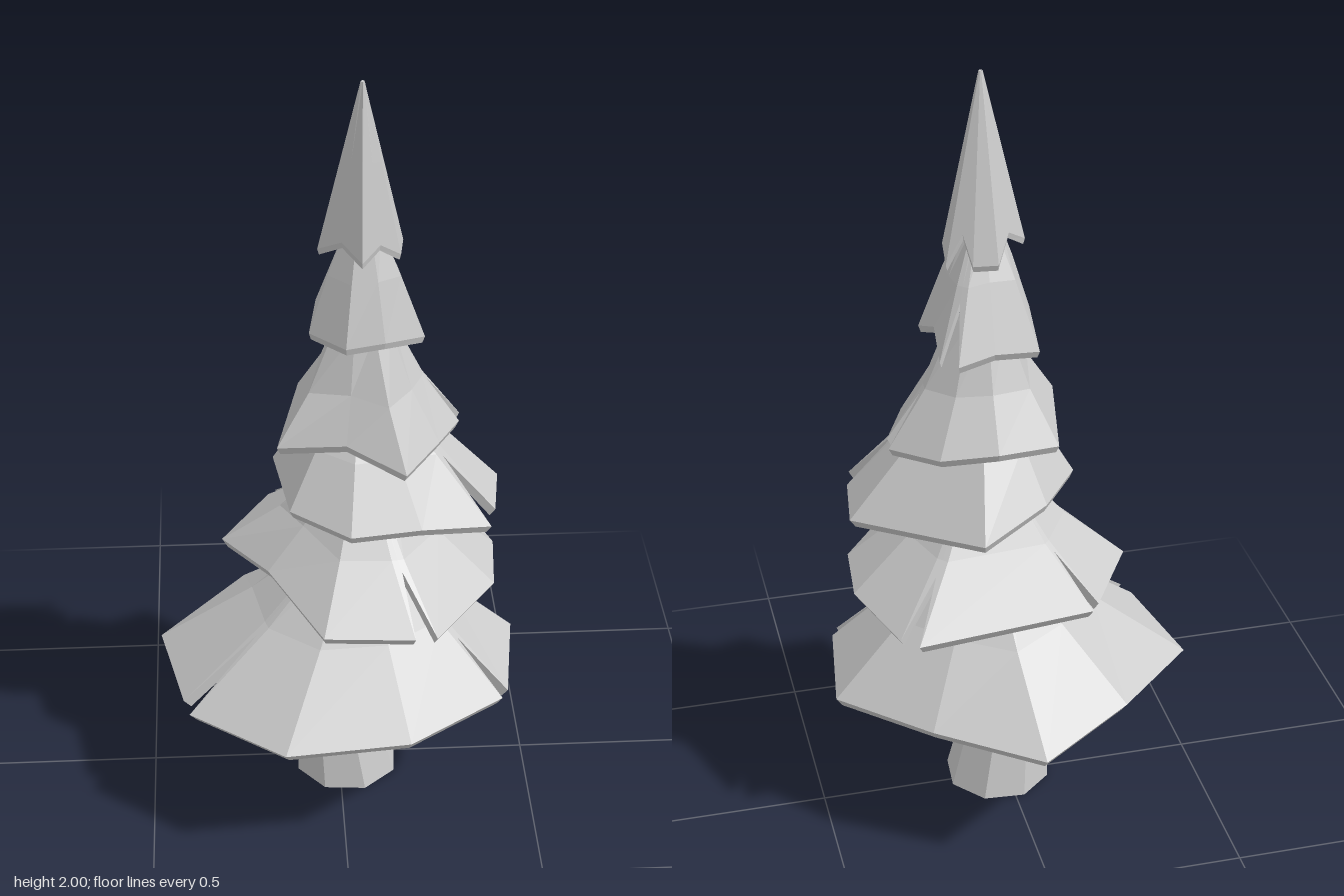
import * as THREE from 'three';

const material = new THREE.MeshStandardMaterial({ color: 0xcccccc, flatShading: true });
const V = (x, y, z) => new THREE.Vector3(x, y, z);
const AXIS = { x: 0.053, z: 0.028 }; // the crown stands slightly off centre

// Joins neighbouring columns of points (each listed bottom to top) into faces.
function loft(name, columns) {
  const pos = [];
  const tri = (...pts) => pts.forEach(p => pos.push(p.x, p.y, p.z));
  columns.forEach((a, i) => {
    const b = columns[(i + 1) % columns.length];
    for (let j = 0; j < a.length - 1; j++) {
      tri(a[j], b[j], b[j + 1]);
      tri(a[j], b[j + 1], a[j + 1]);
    }
  });
  const geo = new THREE.BufferGeometry();
  geo.setAttribute('position', new THREE.Float32BufferAttribute(pos, 3));
  geo.computeVertexNormals();
  const mesh = new THREE.Mesh(geo, material);
  mesh.name = name;
  return mesh;
}

// A skirt of branches hanging from height topY. Rim corners are [x, z], running
// front, +x, back, -x; a bare number is a notch (0 = deep, 1 = none).
// Corners droop more the further they reach out from rimY.
function branchTier(name, topY, rimY, sag, rim) {
  const n = rim.length;
  const topR = THREE.MathUtils.clamp((2 - topY) * 0.12, 0.005, 0.08);
  const thick = 0.03 - 0.0075 * topY;
  const corner = ([x, z]) =>
    V(x, rimY - 0.35 * Math.hypot(x - AXIS.x, z - AXIS.z) - 0.04 * x, z);
  const inside = p =>
    V(AXIS.x + (p.x - AXIS.x) * 0.96, p.y - thick, AXIS.z + (p.z - AXIS.z) * 0.96);

  return loft(name, rim.map((entry, i) => {
    const notch = typeof entry === 'number';
    const edge = notch
      ? corner(rim[(i + n - 1) % n]).lerp(corner(rim[(i + 1) % n]), 0.5)
      : corner(entry);
    const a = Math.atan2(edge.z - AXIS.z, edge.x - AXIS.x);
    const upper = V(AXIS.x + Math.cos(a) * topR, topY, AXIS.z + Math.sin(a) * topR);
    const middle = upper.clone().lerp(edge, 0.45);
    middle.y -= sag;
    if (notch) edge.lerpVectors(middle, edge, entry);
    return [inside(upper), inside(middle), inside(edge), edge, middle, upper];
  }));
}

// Eight-sided trunk that bends a little; each ring is x, y, z, radius.
function trunk() {
  const rings = [[0.02, 0, 0.02, 0.001], [0.02, 0, 0.02, 0.14], [-0.025, 0.37, 0.03, 0.083],
    [0.03, 0.75, 0.03, 0.065], [0.05, 1.2, 0.03, 0.05], [0.055, 1.65, 0.025, 0.001]];
  const sides = 8;
  return loft('trunk', Array.from({ length: sides }, (_, i) => {
    const a = -((i + 0.4) / sides) * Math.PI * 2;
    return rings.map(([x, y, z, r]) => V(x + Math.cos(a) * r, y, z + Math.sin(a) * r));
  }));
}

export function createModel() {
  const tree = new THREE.Group();
  tree.name = 'pineTree';
  tree.add(trunk());

  // Branches from the ground up
  tree.add(branchTier('lowestBranches', 0.74, 0.535, 0.02, [
    [-0.155, 0.453], [0.16, 0.43], [0.41, 0.247], 0.25, [0.427, 0.215], [0.467, -0.07],
    [0.26, -0.3], [0.005, -0.455], [-0.245, -0.3], [-0.47, -0.07], [-0.41, 0.22], 0.12, [-0.395, 0.272]]));
  tree.add(branchTier('lowBranches', 0.95, 0.805, 0.02, [
    [-0.055, 0.375], [0.17, 0.377], 0.15, [0.225, 0.365], [0.388, 0.145], [0.405, -0.04],
    [0.33, -0.26], 0.2, [0.29, -0.3], [-0.155, -0.285], 0.15, [-0.175, -0.26], [-0.3, -0.05], [-0.185, 0.14]]));
  tree.add(branchTier('lowerMiddleBranches', 1.17, 1.02, -0.01, [
    [0.015, 0.297], [0.19, 0.262], [0.368, 0.2], 0.1, [0.385, 0.13], [0.408, -0.035],
    [0.12, -0.283], [-0.06, -0.18], [-0.165, -0.04], [-0.13, 0.195]]));
  tree.add(branchTier('upperMiddleBranches', 1.38, 1.17, 0.03, [
    [0.01, 0.18], [0.15, 0.26], [0.24, 0.13], [0.3, 0.01], 0.1, [0.305, -0.035],
    [0.2, -0.15], [0.06, -0.18], [-0.095, -0.16], [-0.158, 0.145]]));
  tree.add(branchTier('highBranches', 1.62, 1.41, -0.01, [
    [0.01, 0.147], [0.105, 0.125], [0.205, 0.062], 0.75, [0.19, -0.115], 0.2,
    [0.152, -0.153], [0.06, -0.14], [-0.05, -0.138], [-0.075, 0.065]]));
  tree.add(branchTier('pointedTop', 2, 1.605, 0, [
    [-0.052, 0.02], 0.85, [0.05, 0.11], 0.85, [0.145, 0.05], [0.158, -0.05], 0.7,
    [0.1, -0.085], [0.04, -0.095], 0.8]));

  // Small cap closing the tip
  const cap = new THREE.Mesh(new THREE.CircleGeometry(0.005, 8).rotateX(-Math.PI / 2), material);
  cap.position.set(AXIS.x, 2, AXIS.z);
  cap.name = 'tipCap';
  tree.add(cap);
  return tree;
}
